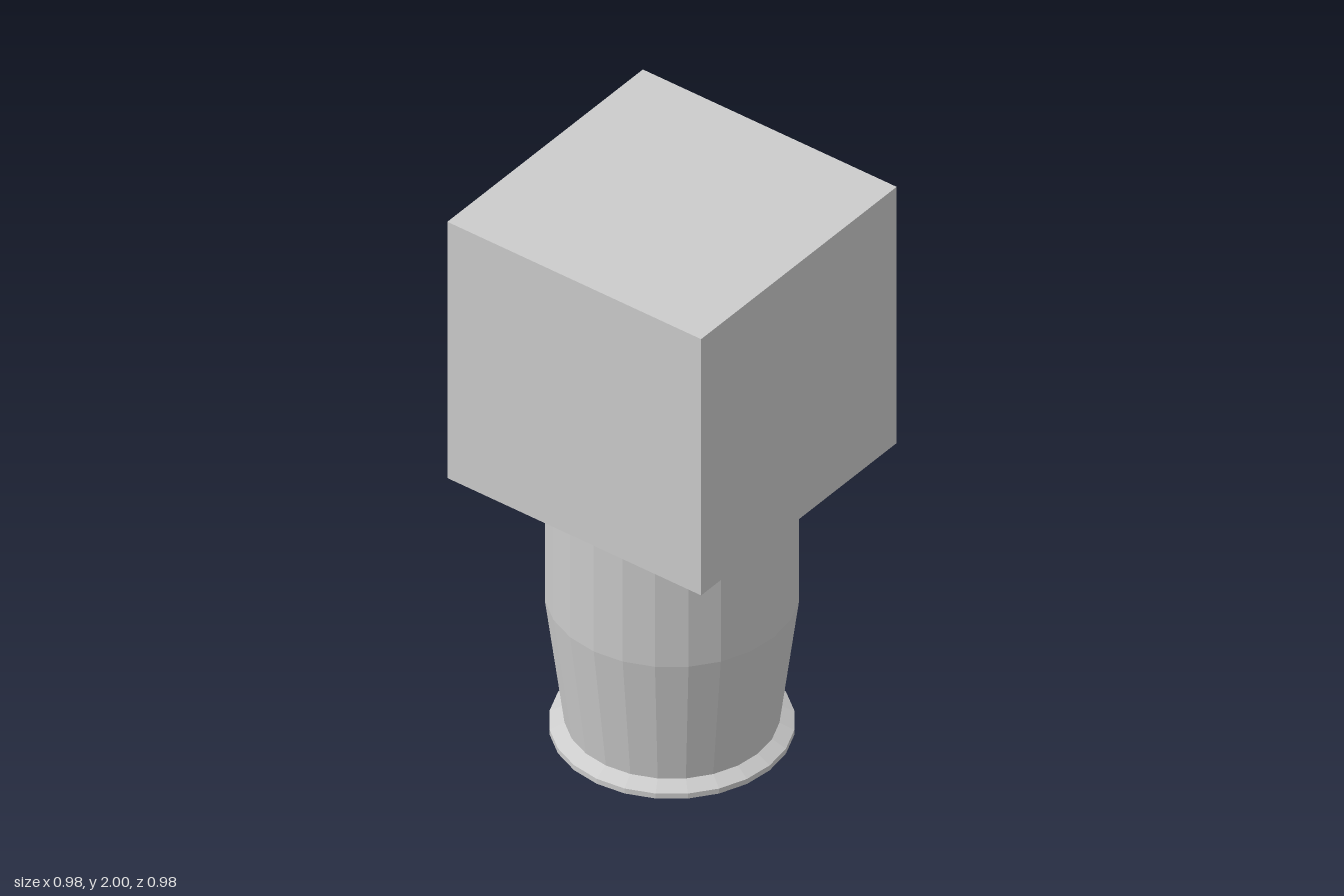
import * as THREE from 'three';

const SIDES = 24;

export function createModel() {
  const model = new THREE.Group();
  const grey = new THREE.MeshStandardMaterial({ color: 0xcccccc, flatShading: true });

  const add = (name, geometry, y) => {
    const mesh = new THREE.Mesh(geometry, grey);
    mesh.name = name;
    mesh.position.y = y;
    model.add(mesh);
  };

  // Faceted round section standing between two heights
  const section = (name, rBottom, rTop, y0, y1, open = true) =>
    add(name, new THREE.CylinderGeometry(rTop, rBottom, y1 - y0, SIDES, 1, open), (y0 + y1) / 2);

  // Foot flange with a sloped upper rim
  section('footFlange', 0.379, 0.379, 0, 0.019, false);
  section('flangeSlope', 0.379, 0.333, 0.019, 0.043);

  // Tapered lower stem and straight upper stem
  section('taperedStem', 0.333, 0.394, 0.043, 0.517);
  section('straightStem', 0.394, 0.394, 0.517, 1.016);

  // Cube head
  const head = 0.984;
  add('head', new THREE.BoxGeometry(head, head, head), 2 - head / 2);

  return model;
}
